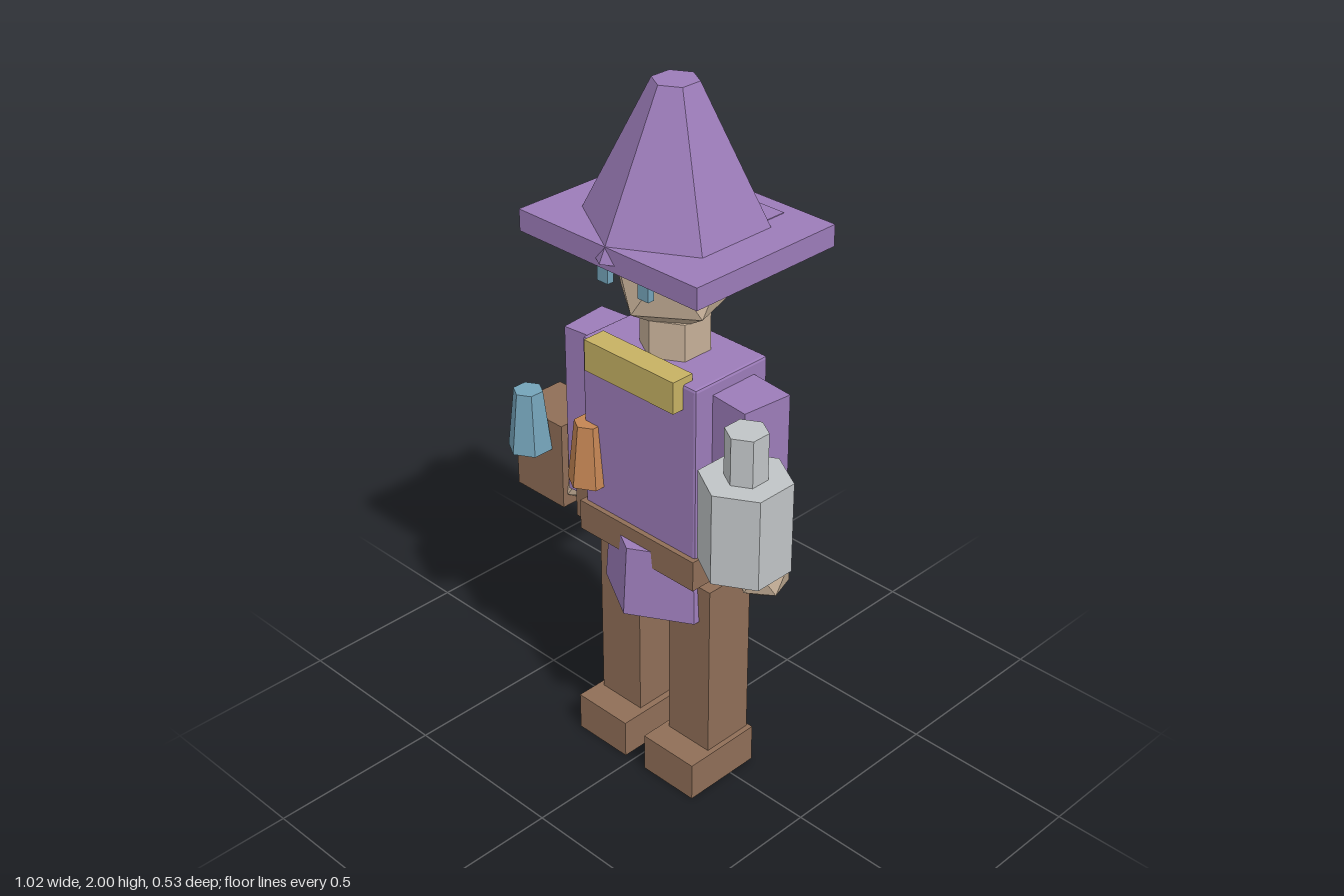
import * as THREE from 'three';
import { RoundedBoxGeometry } from 'three/addons/geometries/RoundedBoxGeometry.js';

const CX = 0.011; // the figure's own mirror axis

const flat = (name, color) => {
  const m = new THREE.MeshStandardMaterial({ color, flatShading: true });
  m.name = name;
  return m;
};

export function createModel() {
  const purple = flat('purple cloth', 0x9c7cb9);
  const brown = flat('brown leather', 0x8f6e57);
  const skin = flat('skin', 0xc6b098);
  const gold = flat('gold', 0xc6b163);
  const grey = flat('grey metal', 0xc0c4c6);
  const blue = flat('blue glass', 0x74a3b9);
  const orange = flat('orange glass', 0xc38553);

  const model = new THREE.Group();
  model.name = 'wizard';

  const add = (name, geometry, material, x, y, z) => {
    const mesh = new THREE.Mesh(geometry, material);
    mesh.name = name;
    mesh.position.set(x, y, z);
    model.add(mesh);
    return mesh;
  };
  // Box given by its centre in x and z and its bottom and top
  const box = (name, mat, x, z, y0, y1, w, d) =>
    add(name, new THREE.BoxGeometry(w, y1 - y0, d), mat, x, (y0 + y1) / 2, z);
  // Six-sided frustum with corners toward the front and back
  const hex = (name, mat, x, z, y0, y1, rBottom, rTop) =>
    add(name, new THREE.CylinderGeometry(rTop, rBottom, y1 - y0, 6), mat, x, (y0 + y1) / 2, z);
  // Twenty-faced ball standing on one corner
  const ball = (name, mat, x, y, z, r) => {
    const g = new THREE.IcosahedronGeometry(r, 0);
    g.rotateZ(Math.atan2(2, 1 + Math.sqrt(5))).rotateY(-Math.PI / 2);
    return add(name, g, mat, x, y, z);
  };

  // Hat
  hex('hatCone', purple, CX, -0.005, 1.6, 2, 0.261, 0.061);
  box('hatBrim', purple, CX, -0.006, 1.58, 1.64, 0.617, 0.486);
  box('hatBand', purple, CX, -0.069, 1.5, 1.642, 0.352, 0.278);

  // Head and neck
  ball('head', skin, CX, 1.5, 0, 0.171);
  hex('neck', skin, CX, -0.004, 1.26, 1.385, 0.094, 0.094);

  // Torso, collar, belt and skirt
  add('torso', new RoundedBoxGeometry(0.41, 0.57, 0.26, 1, 0.008), purple, CX, 0.995, 0);
  box('collar', gold, CX, 0.131, 1.21, 1.3, 0.32, 0.068);
  box('belt', brown, CX, 0.002, 0.69, 0.78, 0.425, 0.286);
  hex('skirt', purple, CX, -0.004, 0.535, 0.74, 0.196, 0.182);

  // Paired parts
  for (const [side, s] of [['left', 1], ['right', -1]]) {
    box(side + 'Eye', blue, CX + s * 0.071, 0.17, 1.5, 1.54, 0.037, 0.02);
    const arm = box(side + 'Arm', purple, CX + s * 0.258, 0, 0.74, 1.245, 0.15, 0.15);
    arm.rotation.y = -s * 0.1;
    ball(side + 'Hand', skin, CX + s * 0.333, 0.75, 0.01, 0.08);
    box(side + 'Leg', brown, CX + s * 0.133, -0.002, 0.1, 0.647, 0.151, 0.156);
    box(side + 'Boot', brown, CX + s * 0.131, 0.034, 0, 0.115, 0.186, 0.242);
  }

  // Pouches, each with a small bottle at its front
  const pouches = [['outer', -0.418, blue], ['inner', -0.177, orange]];
  for (const [name, x, glass] of pouches) {
    box(name + 'Pouch', brown, x, 0.012, 0.677, 0.937, 0.187, 0.167);
    hex(name + 'Bottle', glass, x, 0.128, 0.85, 1.03, 0.063, 0.042);
  }

  // Jug by the left hand
  hex('jugBody', grey, 0.403, 0.147, 0.865, 1.123, 0.121, 0.121);
  hex('jugNeck', grey, 0.403, 0.147, 1.12, 1.255, 0.056, 0.056);

  return model;
}
